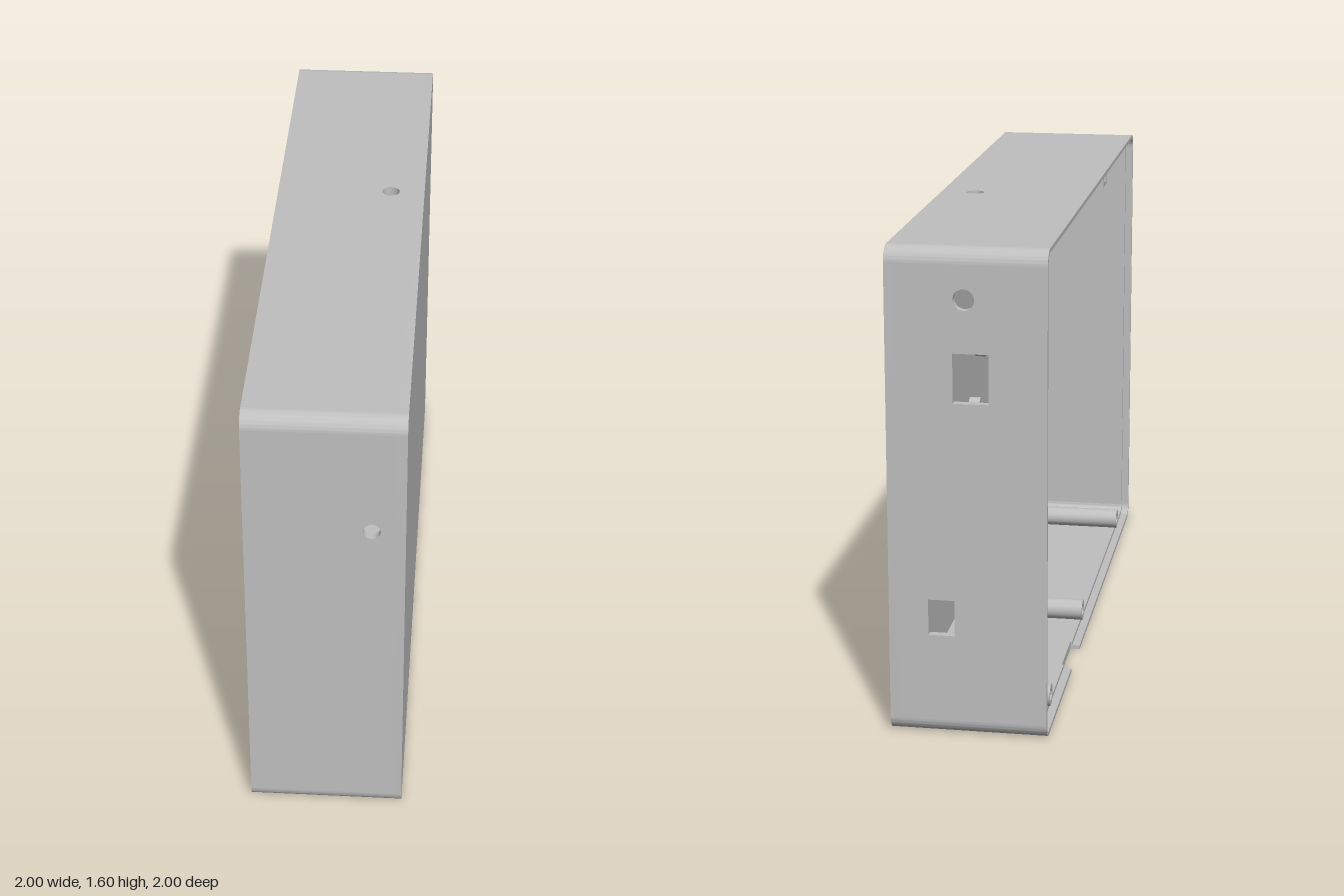
import * as THREE from 'three';
import { toCreasedNormals } from 'three/addons/utils/BufferGeometryUtils.js';

const W = 1.159, H = 1.6, D = 0.255;   // half width, height, half depth
const R = 0.05, FLOOR = 0.225;         // corner radius, inner face of the front plate

export function createModel() {
  const model = new THREE.Group();
  model.name = 'enclosure';
  const body = new THREE.Group();
  body.name = 'enclosureBody';
  body.rotation.y = Math.PI / 4;
  model.add(body);

  const grey = new THREE.MeshStandardMaterial({ color: 0xbfbfbf });
  grey.name = 'grey plastic';

  const add = (name, geometry, x, y, z) => {
    const mesh = new THREE.Mesh(geometry, grey);
    mesh.name = name;
    mesh.position.set(x, y, z);
    body.add(mesh);
    return mesh;
  };
  const box = (name, w, h, d, x, y, z) => add(name, new THREE.BoxGeometry(w, h, d), x, y, z);
  const extrude = (shape, depth) => toCreasedNormals(
    new THREE.ExtrudeGeometry(shape, { depth, bevelEnabled: false, curveSegments: 10 }), 0.5);
  const polygon = (points) => new THREE.Shape(points.map(([x, y]) => new THREE.Vector2(x, y)));
  const rect = (x0, y0, x1, y1) => polygon([[x0, y0], [x1, y0], [x1, y1], [x0, y1]]);
  const circle = (x, y, r) => new THREE.Path().absarc(x, y, r, 0, Math.PI * 2, true);
  const withHoles = (shape, ...holes) => { shape.holes.push(...holes); return shape; };

  // Hollow round post with its axis along z, from z1 back to z0
  const post = (name, x, y, z0, z1, r, bore) => {
    const ring = withHoles(new THREE.Shape().absarc(0, 0, r, 0, Math.PI * 2), circle(0, 0, bore));
    add(name, extrude(ring, z1 - z0), x, y, z0);
  };

  // Closed front plate with rounded corners
  const plate = new THREE.Shape();
  plate.absarc(W - R, H - R, R, 0, Math.PI / 2);
  plate.absarc(-W + R, H - R, R, Math.PI / 2, Math.PI);
  plate.absarc(-W + R, R, R, Math.PI, Math.PI * 1.5);
  plate.absarc(W - R, R, R, Math.PI * 1.5, Math.PI * 2);
  add('frontPlate', extrude(plate, D - FLOOR), 0, 0, FLOOR);

  // Side walls in two layers; the inner one stops short to leave a lip for the cover
  const wallLayer = (label, inset, t, back) => {
    // End walls: shape x is -z, shape y is y
    const right = withHoles(rect(-FLOOR, R, -back, H - R),
      circle(-0.006, 1.44, 0.034),
      rect(-0.042, 1.11, 0.071, 1.27),
      rect(-0.127, 0.34, -0.042, 0.46));
    const left = withHoles(rect(-FLOOR, R, -back, H - R), circle(-0.148, 1.18, 0.028));
    add(label + 'RightWall', extrude(right, t), W - inset - t, 0, 0).rotation.y = Math.PI / 2;
    add(label + 'LeftWall', extrude(left, t), -W + inset, 0, 0).rotation.y = Math.PI / 2;

    // Top wall with a button hole, bottom wall with a cable notch at the rim
    const top = withHoles(rect(-W + R, back, W - R, FLOOR), circle(0.216, 0.138, 0.03));
    const notch = Math.max(back, -0.222);
    const bottom = polygon([[-W + R, back], [0.366, back], [0.366, notch], [0.58, notch],
      [0.58, back], [W - R, back], [W - R, FLOOR], [-W + R, FLOOR]]);
    add(label + 'TopWall', extrude(top, t), 0, H - inset, 0).rotation.x = Math.PI / 2;
    add(label + 'BottomWall', extrude(bottom, t), 0, inset + t, 0).rotation.x = Math.PI / 2;

    // Rounded corners
    const arc = new THREE.Shape();
    arc.absarc(0, 0, R - inset, 0, Math.PI / 2, false);
    arc.absarc(0, 0, R - inset - t, Math.PI / 2, 0, true);
    const corner = extrude(arc, FLOOR - back);
    [[1, 1], [-1, 1], [-1, -1], [1, -1]].forEach(([sx, sy], i) => {
      add(label + 'Corner', corner, sx * (W - R), H / 2 + sy * (H / 2 - R), back)
        .rotation.z = i * Math.PI / 2;
    });
  };
  wallLayer('outer', 0, 0.014, -D);
  wallLayer('inner', 0.014, 0.013, -0.228);

  // Long screw posts along the bottom
  for (const x of [0.926, 0.133, -0.912]) post('screwPost', x, 0.06, -0.235, FLOOR, 0.037, 0.02);

  // Short board standoffs
  const standoffs = [[0.688, 0.92], [0.146, 0.742], [-0.129, 0.742], [-0.258, 0.922], [-0.403, 1.0],
    [-1.09, 1.0], [-1.08, 0.74], [-1.08, 0.13], [-0.129, 0.13], [0.146, 0.13]];
  for (const [x, y] of standoffs) post('standoff', x, y, 0.185, FLOOR, 0.028, 0.012);

  // Thin upright board guides
  const guides = [[0.718, 1.217], [-0.296, 1.217], [-0.365, 1.26], [0.1, 0.426], [-0.09, 0.426],
    [-1.11, 0.424]];
  for (const [x, y] of guides) box('boardGuide', 0.014, 0.06, 0.05, x, y, 0.2);

  // Two rows of small ribs and the tabs around the side connectors
  for (const x of [0.993, 0.886, 0.779]) {
    for (const y of [1.355, 0.927]) box('smallRib', 0.014, 0.035, 0.03, x, y, 0.21);
  }
  for (const x of [0.932, 0.825]) box('supportTab', 0.05, 0.025, 0.08, x, 0.855, 0.185);
  for (const y of [1.2, 1.09]) box('connectorTab', 0.06, 0.025, 0.06, 1.04, y, 0.195);

  // Cover screw tab under the top wall, braced by a wedge
  const tab = withHoles(rect(-0.045, -0.065, 0.045, 0), circle(0, -0.032, 0.02));
  add('coverTab', extrude(tab, 0.035), -0.488, H - 0.027, -0.225);
  const wedge = polygon([[0, 0], [0, -0.065], [0.08, 0]].map(([z, y]) => [-z, y]).reverse());
  add('coverTabWedge', extrude(wedge, 0.09), -0.533, H - 0.027, -0.19).rotation.y = Math.PI / 2;

  return model;
}
